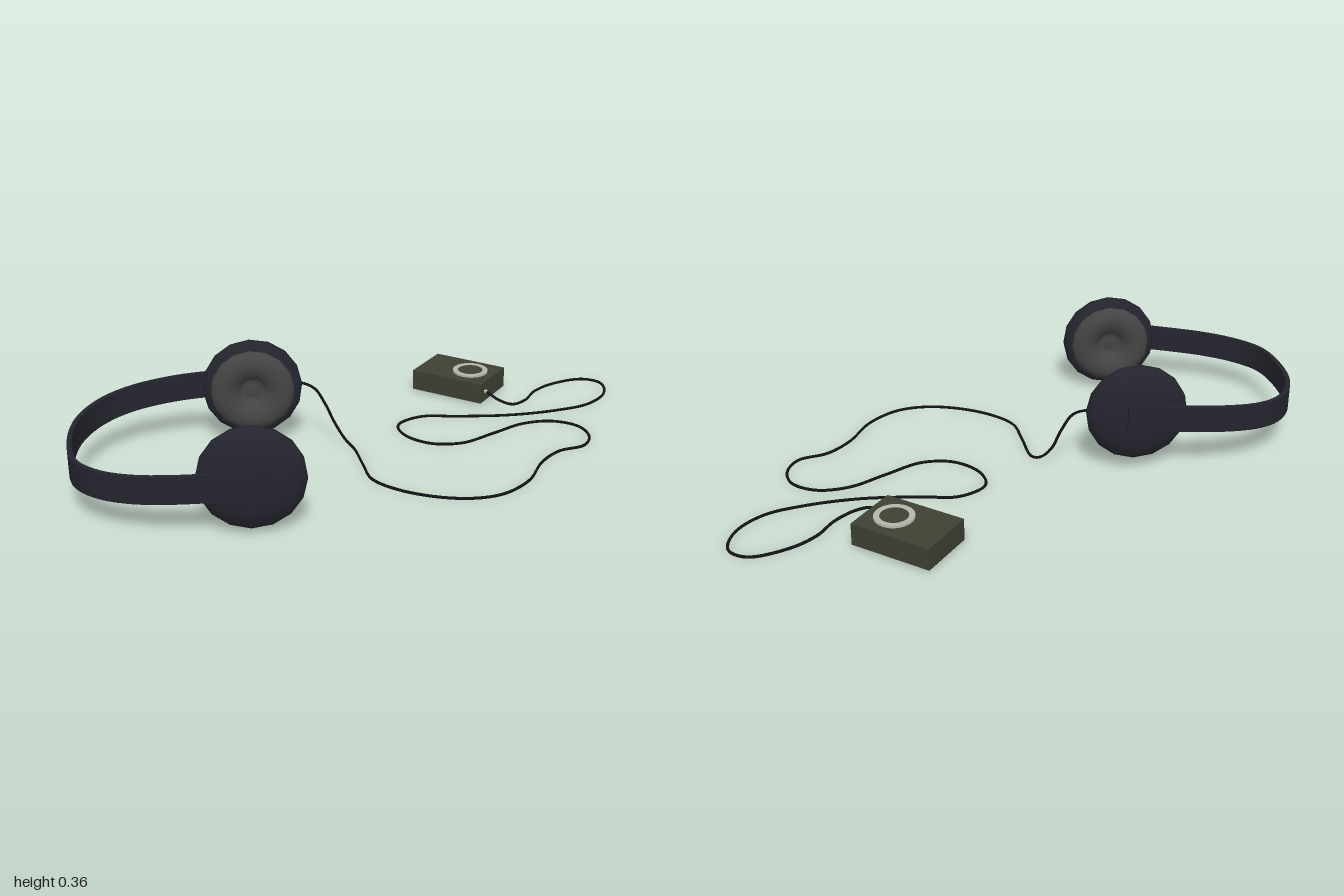
import * as THREE from 'three';

const V = (x, y, z) => new THREE.Vector3(x, y, z);
const paint = (color, side = THREE.FrontSide) => new THREE.MeshStandardMaterial({ color, side });

function addMesh(parent, name, geometry, material) {
  const mesh = new THREE.Mesh(geometry, material);
  mesh.name = name;
  parent.add(mesh);
  return mesh;
}

function lathe(profile, sides) {
  return new THREE.LatheGeometry(profile.map(([r, y]) => new THREE.Vector2(r, y)), sides);
}

// Bend a long thin box along a curve, keeping its height upright
function bentStrip(curve, height, thickness, segments) {
  const geo = new THREE.BoxGeometry(1, height, thickness, segments, 1, 1);
  const pos = geo.attributes.position;
  for (let i = 0; i < pos.count; i++) {
    const u = THREE.MathUtils.clamp(pos.getX(i) + 0.5, 0, 1);
    const p = curve.getPointAt(u);
    const t = curve.getTangentAt(u).setY(0).normalize();
    const off = pos.getZ(i);
    pos.setXYZ(i, p.x - t.z * off, p.y + pos.getY(i), p.z + t.x * off);
  }
  geo.computeVertexNormals();
  return geo;
}

export function createModel() {
  const model = new THREE.Group();
  const shellMat = paint(0x24242e);
  const padMat = paint(0x444444);
  const cordMat = paint(0x121214);
  const bodyMat = paint(0x3d4033);
  const ringMat = paint(0xb4b4ac);

  // Ear cups: a rounded shell and a hollow-centred cushion, both facing inward
  const shellProfile = [[0, -0.054], [0.06, -0.053], [0.105, -0.046], [0.142, -0.033],
    [0.161, -0.012], [0.161, 0.004], [0.15, 0.02], [0.125, 0.026]];
  const padProfile = [[0.134, 0.018], [0.136, 0.032], [0.128, 0.048], [0.108, 0.059], [0.084, 0.059],
    [0.06, 0.05], [0.043, 0.034], [0.036, 0.022], [0.02, 0.024], [0, 0.026]];
  const cups = [
    ['rightEarCup', V(-0.578, 0.174, 0.28), V(0.42, 0, -0.91)],
    ['leftEarCup', V(-0.317, 0.199, -0.264), V(-0.42, 0, 0.91)],
  ];
  for (const [name, centre, inward] of cups) {
    const cup = new THREE.Group();
    cup.name = name;
    addMesh(cup, 'shell', lathe(shellProfile, 16), shellMat);
    addMesh(cup, 'cushion', lathe(padProfile, 16), padMat);
    cup.position.copy(centre);
    cup.quaternion.setFromUnitVectors(V(0, 1, 0), inward.normalize());
    model.add(cup);
  }

  // Headband, from the left cup round to the right cup
  const bandPath = new THREE.CatmullRomCurve3([
    V(-0.26, 0.203, -0.3), V(-0.4, 0.195, -0.362), V(-0.53, 0.184, -0.415), V(-0.665, 0.17, -0.438),
    V(-0.77, 0.159, -0.417), V(-0.87, 0.15, -0.345), V(-0.945, 0.144, -0.225), V(-0.988, 0.141, -0.06),
    V(-0.955, 0.142, 0.045), V(-0.89, 0.147, 0.13), V(-0.8, 0.155, 0.205), V(-0.69, 0.166, 0.278),
    V(-0.55, 0.177, 0.351),
  ]);
  addMesh(model, 'headband', bentStrip(bandPath, 0.087, 0.015, 60), shellMat);

  // Cord: drops from the left cup, winds over the floor, rises into the player
  const floor = 0.005;
  const onFloor = [[-0.06, -0.05], [-0.094, 0.07], [-0.12, 0.176], [-0.083, 0.283], [0, 0.385],
    [0.09, 0.444], [0.18, 0.462], [0.297, 0.428], [0.414, 0.34], [0.51, 0.302], [0.607, 0.308],
    [0.668, 0.257], [0.684, 0.176], [0.634, 0.1], [0.537, 0.066], [0.404, 0.08], [0.27, 0.092],
    [0.18, 0.045], [0.138, -0.053], [0.163, -0.139], [0.265, -0.158], [0.377, -0.096], [0.537, -0.016],
    [0.7, 0.032], [0.83, 0.043], [0.94, -0.005], [0.99, -0.09], [0.955, -0.15], [0.83, -0.168],
    [0.735, -0.144], [0.66, -0.096]];
  const cordPath = new THREE.CatmullRomCurve3([
    V(-0.22, 0.205, -0.22), V(-0.18, 0.21, -0.2), V(-0.14, 0.192, -0.17), V(-0.11, 0.135, -0.15),
    V(-0.085, 0.07, -0.135), V(-0.068, 0.022, -0.095),
    ...onFloor.map(([x, z]) => V(x, floor, z)),
    V(0.59, 0.01, -0.08), V(0.552, 0.025, -0.105), V(0.536, 0.04, -0.15), V(0.53, 0.042, -0.18),
  ]);
  addMesh(model, 'cord', new THREE.TubeGeometry(cordPath, 320, 0.0047, 6), cordMat);

  // Music player: a small block with a raised control ring and a plug
  const player = new THREE.Group();
  player.name = 'musicPlayer';
  player.position.set(0.519, 0.005, -0.312);
  player.rotation.y = 0.517;
  model.add(player);
  addMesh(player, 'body', new THREE.BoxGeometry(0.188, 0.072, 0.271), bodyMat).position.y = 0.036;
  const ring = lathe([[0.044, 0], [0.062, 0], [0.062, 0.007], [0.044, 0.007], [0.044, 0]], 32).toNonIndexed();
  ring.computeVertexNormals();
  addMesh(player, 'controlRing', ring, ringMat).position.set(0, 0.072, 0.046);
  addMesh(player, 'centreButton', new THREE.CylinderGeometry(0.044, 0.044, 0.006, 32), bodyMat)
    .position.set(0, 0.075, 0.046);
  const plug = addMesh(player, 'plug', new THREE.CylinderGeometry(0.007, 0.007, 0.02, 10), ringMat);
  plug.rotation.x = Math.PI / 2;
  plug.position.set(-0.062, 0.036, 0.136);

  return model;
}
